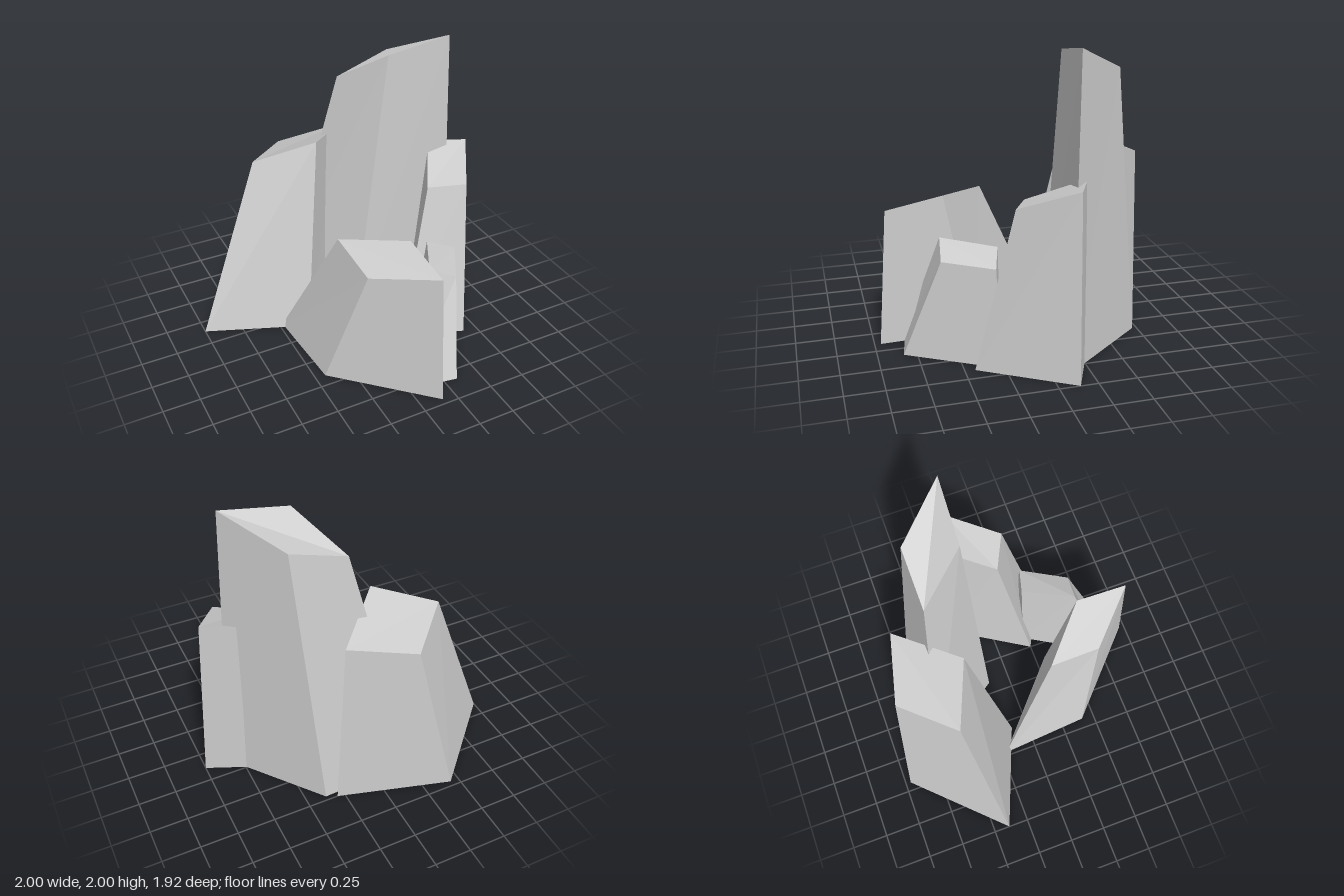
import * as THREE from 'three';

const material = new THREE.MeshStandardMaterial({ color: 0xcccccc, flatShading: true });

// Each rock: four ground corners [x, z] and four top corners [x, y, z], anticlockwise from above
const rocks = {
  backLeftRock: {
    base: [[-1, -0.39], [-0.31, -0.115], [0.3, -0.75], [-0.44, -0.965]],
    top: [[-0.51, 1.19, -0.53], [-0.11, 1.325, -0.36], [0.25, 1.22, -0.74], [-0.19, 1.12, -0.86]],
  },
  tallRock: {
    base: [[-0.29, -0.69], [0.085, -0.155], [0.83, -0.14], [0.37, -0.72]],
    top: [[0.12, 1.7, -0.51], [0.34, 1.925, -0.195], [0.785, 1.995, -0.175], [0.5, 1.825, -0.515]],
  },
  rightRock: {
    base: [[0.25, 0.25], [0.65, 0.435], [1, -0.135], [0.6, -0.31]],
    top: [[0.51, 1.04, 0.085], [0.745, 1.065, 0.2], [0.945, 1.205, -0.14], [0.7, 1.2, -0.255]],
  },
  smallFrontRock: {
    base: [[0.01, 0.78], [0.34, 0.835], [0.67, 0.27], [0.34, 0.22]],
    top: [[0.25, 0.745, 0.57], [0.44, 0.655, 0.597], [0.62, 0.645, 0.29], [0.43, 0.715, 0.235]],
  },
  frontLeftRock: {
    base: [[-0.475, -0.22], [-0.43, 0.41], [0.155, 0.96], [0.13, 0.32]],
    top: [[-0.225, 0.91, 0.2], [-0.195, 0.825, 0.565], [0.143, 0.915, 0.895], [0.13, 0.98, 0.52]],
  },
};

// Closed faceted block joining a base loop to a top loop
function makeRock(name, { base, top }) {
  const ground = base.map(([x, z]) => [x, 0, z]);
  const positions = [];
  const quad = (a, b, c, d) => positions.push(...a, ...b, ...c, ...a, ...c, ...d);
  for (let i = 0; i < 4; i++) {
    const j = (i + 1) % 4;
    quad(ground[i], ground[j], top[j], top[i]);
  }
  quad(...top);
  quad(...ground.slice().reverse());

  const geometry = new THREE.BufferGeometry();
  geometry.setAttribute('position', new THREE.Float32BufferAttribute(positions, 3));
  geometry.computeVertexNormals();
  const mesh = new THREE.Mesh(geometry, material);
  mesh.name = name;
  return mesh;
}

export function createModel() {
  const group = new THREE.Group();
  group.name = 'rockCluster';
  for (const [name, shape] of Object.entries(rocks)) group.add(makeRock(name, shape));
  return group;
}
